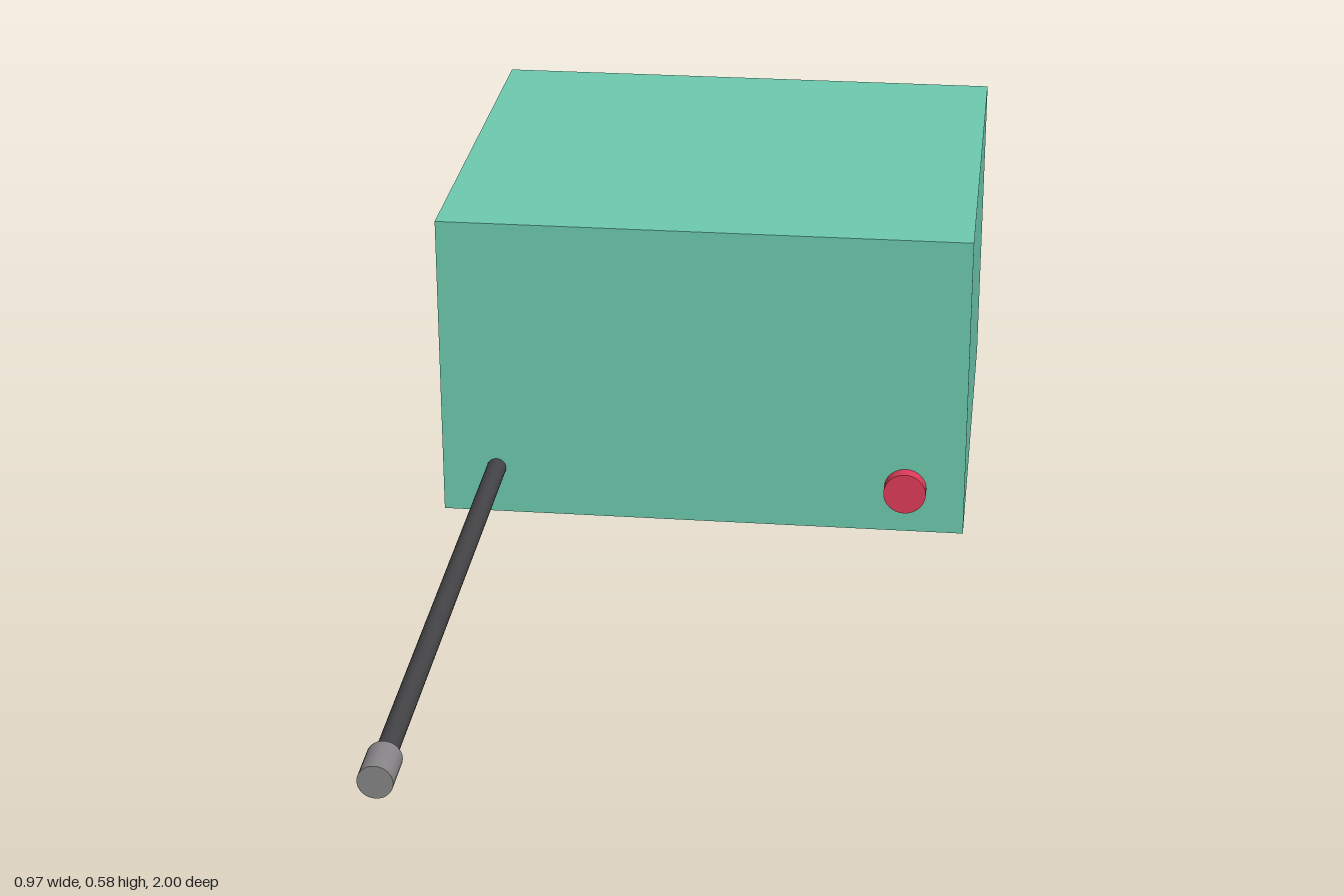
import * as THREE from 'three';

export function createModel() {
  const model = new THREE.Group();

  const addPart = (name, geometry, color, x, y, z) => {
    const mesh = new THREE.Mesh(geometry, new THREE.MeshStandardMaterial({ color }));
    mesh.name = name;
    mesh.position.set(x, y, z);
    model.add(mesh);
  };

  // Cylinder lying along z between two depths
  const addRod = (name, radius, x, y, zBack, zFront, color) => {
    const geometry = new THREE.CylinderGeometry(radius, radius, zFront - zBack, 32);
    geometry.rotateX(Math.PI / 2);
    addPart(name, geometry, color, x, y, (zBack + zFront) / 2);
  };

  // Body
  const back = -1, front = -0.135, height = 0.577;
  addPart('body', new THREE.BoxGeometry(0.972, height, front - back), 0x6eccb1,
    0, height / 2, (back + front) / 2);

  // Antenna rod and its tip
  addRod('antennaRod', 0.018, -0.385, 0.09, front - 0.01, 0.925, 0x444446);
  addRod('antennaTip', 0.029, -0.385, 0.09, 0.923, 1, 0x888688);

  // Round button on the front face
  addRod('button', 0.039, 0.377, 0.087, front - 0.01, -0.11, 0xe03c5a);

  return model;
}
